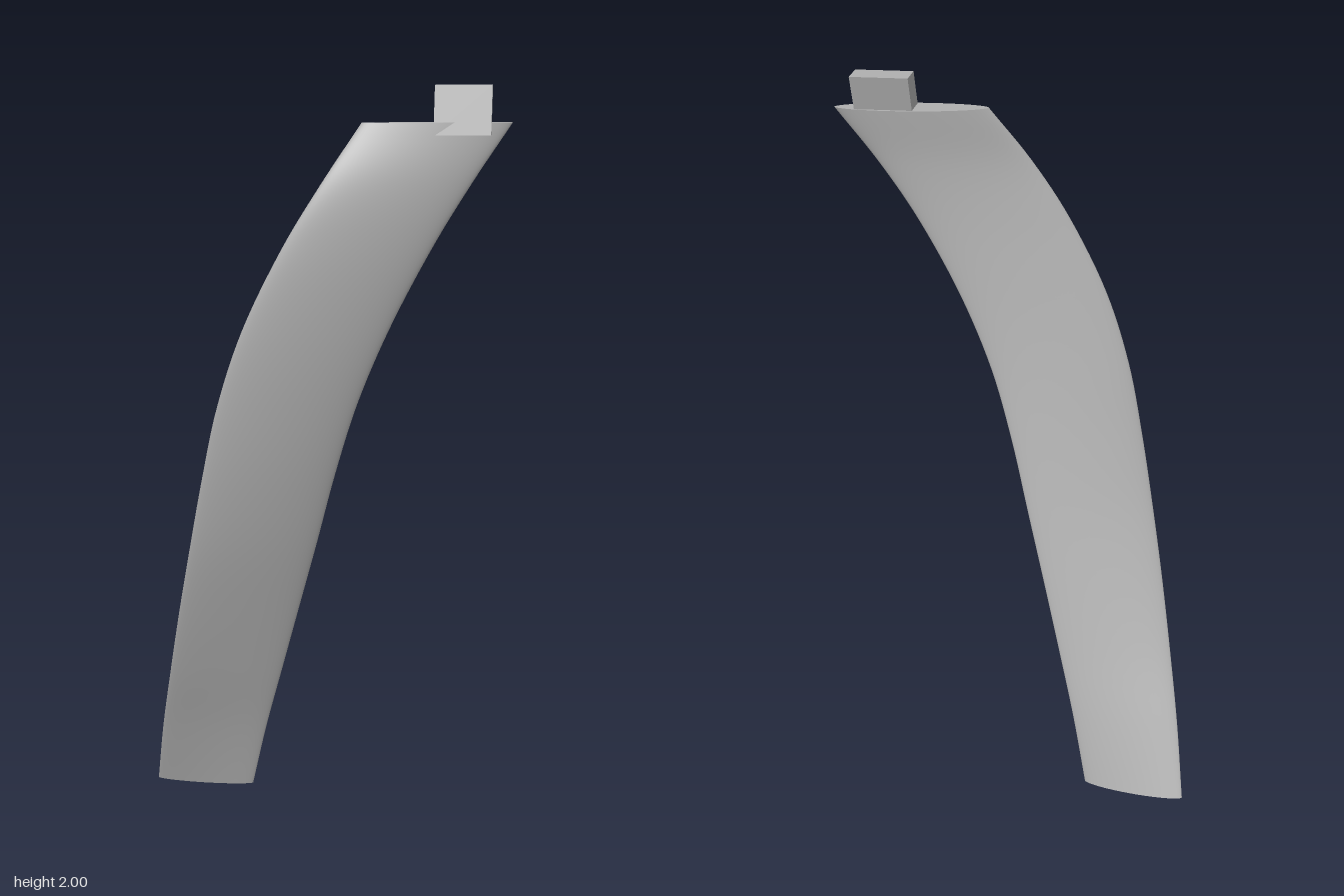
import * as THREE from 'three';

// Blade stations: y, left edge (x, z), right edge (x, z), half thickness
const STATIONS = [
  [0.0, -0.497, -0.185, -0.213, -0.182, 0.019],
  [0.2, -0.46, -0.1, -0.165, -0.134, 0.021],
  [0.4, -0.416, -0.015, -0.11, -0.085, 0.023],
  [0.6, -0.372, 0.057, -0.055, -0.04, 0.025],
  [0.8, -0.327, 0.115, 0.0, 0.002, 0.027],
  [1.0, -0.283, 0.155, 0.053, 0.04, 0.028],
  [1.2, -0.235, 0.181, 0.115, 0.07, 0.028],
  [1.4, -0.166, 0.194, 0.198, 0.086, 0.028],
  [1.6, -0.068, 0.191, 0.3, 0.087, 0.028],
  [1.76, 0.028, 0.17, 0.395, 0.072, 0.028],
  [1.91, 0.125, 0.121, 0.493, 0.042, 0.028],
];
const RING = 64, ROWS = 60;

// Closed lens-shaped section between the two edges at u (0 bottom, 1 top)
function makeSections() {
  const curve = (f) => new THREE.CatmullRomCurve3(STATIONS.map(f), false, 'catmullrom');
  const leftEdge = curve((s) => new THREE.Vector3(s[1], s[0], s[2]));
  const rightEdge = curve((s) => new THREE.Vector3(s[3], s[0], s[4]));
  const thickness = curve((s) => new THREE.Vector3(s[5], s[0], 0));
  return (u) => {
    const l = leftEdge.getPoint(u), r = rightEdge.getPoint(u), h = thickness.getPoint(u).x;
    const mid = l.clone().add(r).multiplyScalar(0.5);
    const half = r.clone().sub(l).multiplyScalar(0.5);
    const normal = new THREE.Vector3(-half.z, 0, half.x).normalize();
    return Array.from({ length: RING }, (_, i) => {
      const a = (i / RING) * Math.PI * 2, c = Math.cos(a), s = Math.sin(a);
      const t = h * Math.sign(s) * Math.pow(Math.abs(s), 1.15);
      return mid.clone().addScaledVector(half, c).addScaledVector(normal, t);
    });
  };
}

function geometryFrom(points, index) {
  const g = new THREE.BufferGeometry().setFromPoints(points);
  g.setIndex(index);
  g.computeVertexNormals();
  return g;
}

// Smooth skin lofted through the sections
function skinGeometry(section) {
  const points = [], index = [];
  for (let j = 0; j <= ROWS; j++) points.push(...section(j / ROWS));
  for (let j = 0; j < ROWS; j++) {
    for (let i = 0; i < RING; i++) {
      const a = j * RING + i, b = j * RING + ((i + 1) % RING);
      index.push(a, a + RING, b, b, a + RING, b + RING);
    }
  }
  return geometryFrom(points, index);
}

// Flat end closing the skin
function capGeometry(ring, up) {
  const centre = ring.reduce((s, p) => s.add(p), new THREE.Vector3()).divideScalar(RING);
  const index = [];
  for (let i = 0; i < RING; i++) {
    const n = (i + 1) % RING;
    index.push(RING, up ? n : i, up ? i : n);
  }
  return geometryFrom([...ring, centre], index);
}

// Mounting tab: a box sheared to follow the chord angle and the backward lean
function tabGeometry() {
  const g = new THREE.BoxGeometry(0.14, 0.12, 0.05);
  const p = g.attributes.position;
  for (let i = 0; i < p.count; i++) {
    const x = p.getX(i), y = p.getY(i);
    p.setXYZ(i, x + 0.371, y + 1.94, p.getZ(i) + 0.05 - 0.15 * x - 0.25 * (y - 0.06));
  }
  g.computeVertexNormals();
  return g;
}

export function createModel() {
  const grey = new THREE.MeshStandardMaterial({ color: 0xb0b0b0 });
  grey.name = 'plain grey';
  const group = new THREE.Group();
  group.name = 'curvedBlade';
  const add = (name, geometry) => {
    const mesh = new THREE.Mesh(geometry, grey);
    mesh.name = name;
    group.add(mesh);
  };
  const section = makeSections();
  add('bladeSkin', skinGeometry(section));
  add('bladeTipCap', capGeometry(section(0), false));
  add('bladeRootCap', capGeometry(section(1), true));
  add('mountingTab', tabGeometry());
  return group;
}
